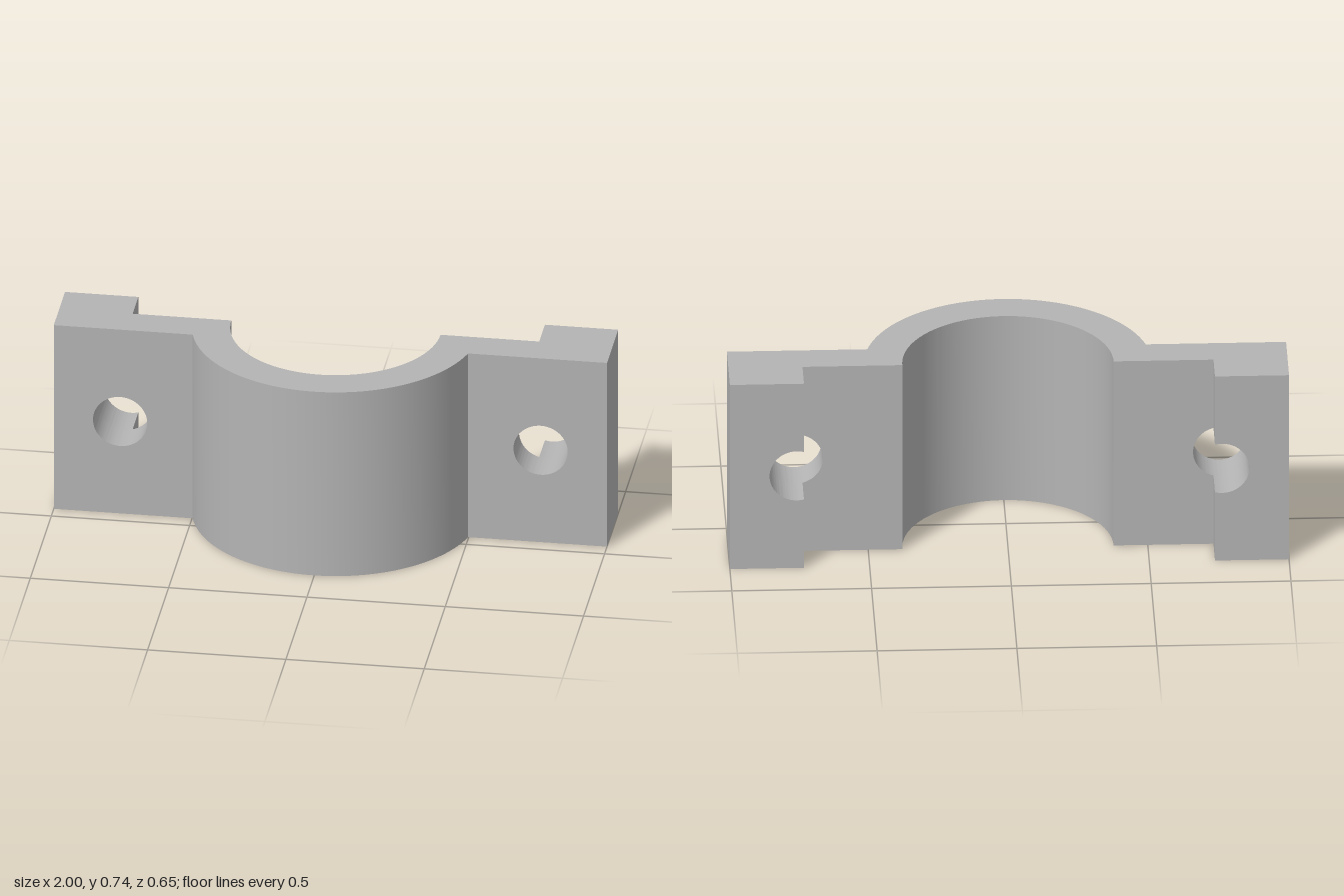
import * as THREE from 'three';
import { toCreasedNormals } from 'three/addons/utils/BufferGeometryUtils.js';

const H = 0.735;                                // height
const BACK = -0.19, FRONT = -0.058, PAD = -0.325; // z of web back, flange front, pad back
const R_OUT = 0.515, R_IN = 0.378;
const HOLE_X = 0.76, HOLE_R = 0.098, PAD_X = 0.735;
const START = Math.asin((FRONT - BACK) / R_OUT);
const JOIN_X = R_OUT * Math.cos(START);         // where the saddle meets the flange

function extrude(shape, depth) {
  const geo = new THREE.ExtrudeGeometry(shape, { depth, bevelEnabled: false, curveSegments: 48 });
  return toCreasedNormals(geo, 0.2);
}

// Half-round saddle, drawn in x/z and extruded over the height
function saddleGeometry() {
  const s = new THREE.Shape();
  s.moveTo(JOIN_X, BACK);
  s.lineTo(JOIN_X, FRONT);
  s.absarc(0, BACK, R_OUT, START, Math.PI - START, false);
  s.lineTo(-JOIN_X, BACK);
  s.lineTo(-R_IN, BACK);
  s.absarc(0, BACK, R_IN, Math.PI, 0, true);
  return extrude(s, H).rotateX(Math.PI / 2).translate(0, H, 0);
}

// Flange plate with a round bolt hole
function flangeGeometry() {
  const s = new THREE.Shape();
  s.moveTo(JOIN_X, 0);
  s.lineTo(1, 0);
  s.lineTo(1, H);
  s.lineTo(JOIN_X, H);
  s.closePath();
  s.holes.push(new THREE.Path().absarc(HOLE_X, H / 2, HOLE_R, 0, Math.PI * 2, true));
  return extrude(s, FRONT - BACK).translate(0, 0, BACK);
}

// Thick end pad; the bolt hole breaks through its inner edge
function padGeometry() {
  const a = Math.acos((PAD_X - HOLE_X) / HOLE_R);
  const s = new THREE.Shape();
  s.moveTo(PAD_X, 0);
  s.lineTo(1, 0);
  s.lineTo(1, H);
  s.lineTo(PAD_X, H);
  s.absarc(HOLE_X, H / 2, HOLE_R, a, -a, true);
  s.closePath();
  return extrude(s, BACK - PAD).translate(0, 0, PAD);
}

export function createModel() {
  const steel = new THREE.MeshStandardMaterial({ color: 0xb4b4b4 });
  steel.name = 'grey steel';

  const model = new THREE.Group();
  model.name = 'pipeClamp';
  const add = (parent, name, geo) => {
    const mesh = new THREE.Mesh(geo, steel);
    mesh.name = name;
    parent.add(mesh);
  };

  add(model, 'saddle', saddleGeometry());

  // Each ear is symmetric in height, so a half turn gives the other side
  const flange = flangeGeometry(), pad = padGeometry();
  for (const side of ['left', 'right']) {
    const ear = new THREE.Group();
    ear.name = side + 'Ear';
    add(ear, side + 'Flange', flange);
    add(ear, side + 'Pad', pad);
    if (side === 'right') {
      ear.rotation.z = Math.PI;
      ear.position.y = H;
    }
    model.add(ear);
  }
  return model;
}
